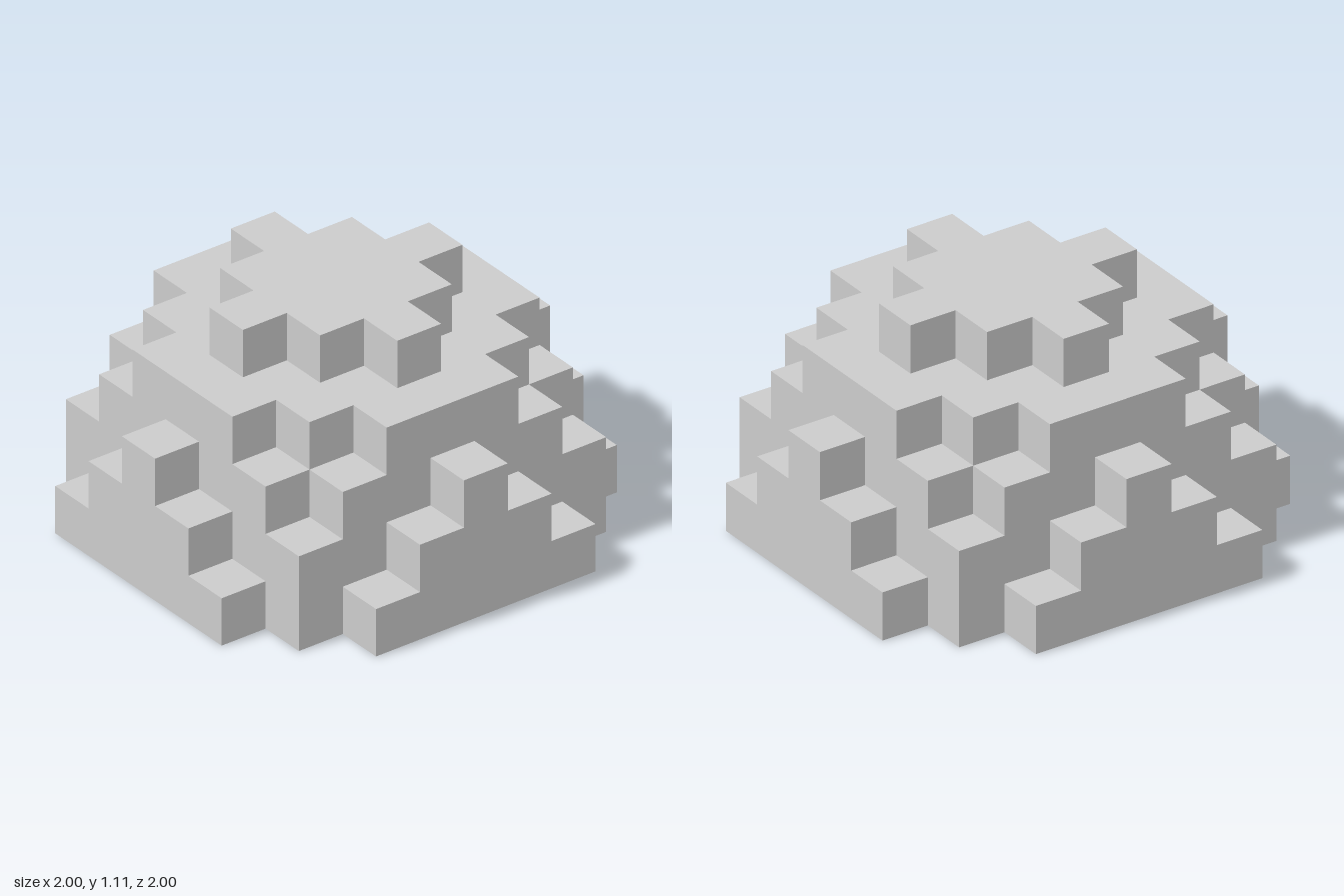
import * as THREE from 'three';
import { mergeGeometries } from 'three/addons/utils/BufferGeometryUtils.js';

const R = 4;                 // blocks from the centre block to the rim
const S = 2 / (2 * R + 1);   // edge length of one block
const LIMIT = 20;            // squared radius, in blocks, of the stepped dome

// A block belongs to the dome if its centre lies within the sphere, above ground
const filled = (x, y, z) => y >= 0 && x * x + y * y + z * z <= LIMIT;

const DIRECTIONS = [[1, 0, 0], [-1, 0, 0], [0, 1, 0], [0, -1, 0], [0, 0, 1], [0, 0, -1]]
  .map((d) => new THREE.Vector3(...d));
const FORWARD = new THREE.Vector3(0, 0, 1);

// One square face of a block, turned to point along dir
function blockFace(x, y, z, dir) {
  const face = new THREE.PlaneGeometry(S, S);
  if (dir.z === -1) face.rotateY(Math.PI);
  else face.applyQuaternion(new THREE.Quaternion().setFromUnitVectors(FORWARD, dir));
  return face.translate(
    x * S + dir.x * S / 2,
    (y + 0.5) * S + dir.y * S / 2,
    z * S + dir.z * S / 2
  );
}

// All exposed faces of one horizontal layer of blocks
function tierGeometry(y) {
  const faces = [];
  for (let x = -R; x <= R; x++) {
    for (let z = -R; z <= R; z++) {
      if (!filled(x, y, z)) continue;
      for (const d of DIRECTIONS) {
        if (!filled(x + d.x, y + d.y, z + d.z)) faces.push(blockFace(x, y, z, d));
      }
    }
  }
  return mergeGeometries(faces);
}

export function createModel() {
  const model = new THREE.Group();
  model.name = 'blockDome';
  const material = new THREE.MeshStandardMaterial({ color: 0xcccccc, flatShading: true });

  // Five tiers, from the base up to the flat top
  const names = ['baseTier', 'secondTier', 'thirdTier', 'fourthTier', 'topTier'];
  names.forEach((name, y) => {
    const tier = new THREE.Mesh(tierGeometry(y), material);
    tier.name = name;
    model.add(tier);
  });
  return model;
}
